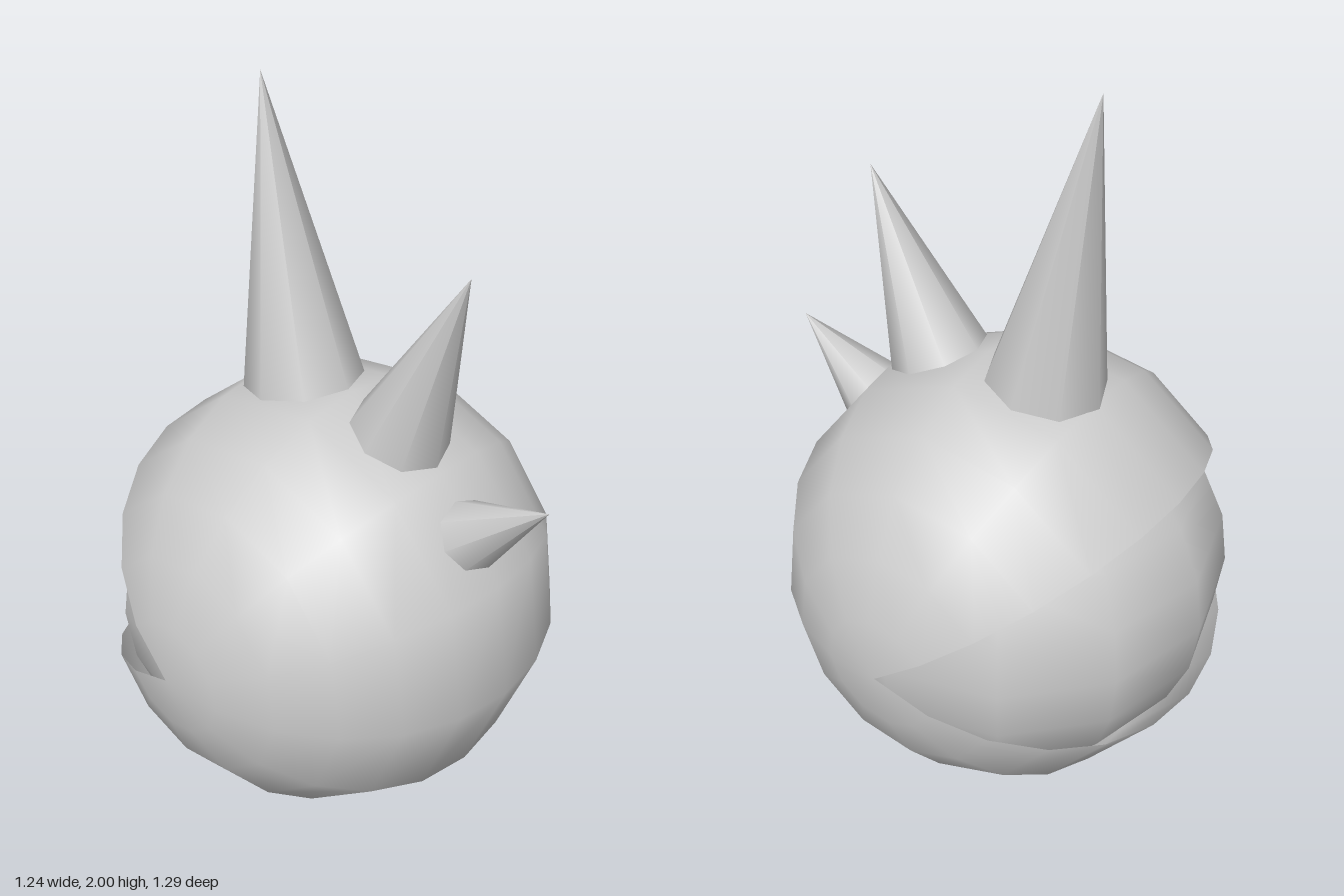
import * as THREE from 'three';

const rad = THREE.MathUtils.degToRad;

export function createModel() {
  const group = new THREE.Group();
  const solid = new THREE.MeshStandardMaterial({ color: 0xcccccc });
  const thin = new THREE.MeshStandardMaterial({ color: 0xcccccc, side: THREE.DoubleSide });
  const center = new THREE.Vector3(0, 0.617, -0.06);

  const add = (name, geometry, material, position) => {
    const mesh = new THREE.Mesh(geometry, material);
    mesh.name = name;
    mesh.position.copy(position);
    group.add(mesh);
    return mesh;
  };

  // Thin outer shell with its poles on the x axis and an open wedge at the back
  const shell = new THREE.SphereGeometry(0.62, 10, 12, rad(-52.8), rad(300));
  shell.rotateZ(-Math.PI / 2);
  add('outerShell', shell, thin, center);

  // Slightly smaller ball seen through the opening
  add('innerBall', new THREE.SphereGeometry(0.583, 12, 12), solid, center);

  // Eight-sided spikes along the middle line: base centre, tip (y, z) and radius
  const spikes = [
    ['largeSpike', [1.206, -0.156], [2.0, -0.285], 0.16],
    ['middleSpike', [1.172, 0.178], [1.657, 0.38], 0.133],
    ['smallSpike', [0.958, 0.398], [1.135, 0.642], 0.102],
  ];
  for (const [name, [y0, z0], [y1, z1], radius] of spikes) {
    const cone = new THREE.ConeGeometry(radius, Math.hypot(y1 - y0, z1 - z0), 8);
    const spike = add(name, cone, solid, new THREE.Vector3(0, (y0 + y1) / 2, (z0 + z1) / 2));
    spike.rotation.x = Math.atan2(z1 - z0, y1 - y0);
  }
  return group;
}
